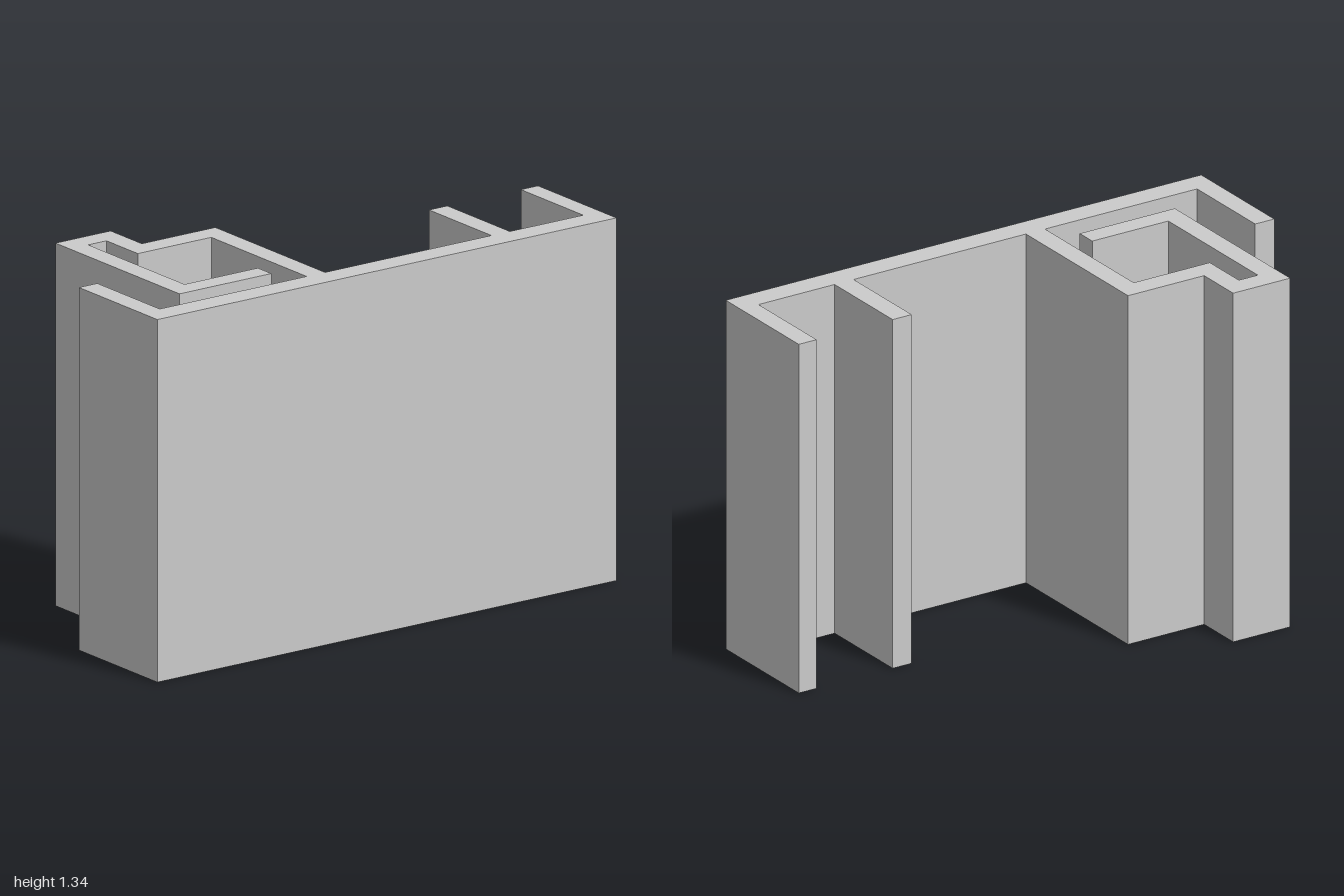
import * as THREE from 'three';

const HEIGHT = 1.335;

// Cross-section of the profile as [x, z] corners
const OUTLINE = [
  // back lip, main wall and front lip
  [0, -1], [0.465, -1], [0.465, 1], [0, 1], [0, 0.92], [0.37, 0.92],
  // inside of the hooked channel
  [0.37, 0.28], [-0.195, 0.28], [-0.195, 0.6], [-0.38, 0.6], [-0.38, 0.68], [0.19, 0.68],
  // free end of the hook
  [0.19, 0.36], [0.27, 0.36],
  // outside of the hooked channel
  [0.27, 0.76], [-0.465, 0.76], [-0.465, 0.52], [-0.28, 0.52], [-0.28, 0.2], [0.37, 0.2],
  // middle fin and inside of the back lip
  [0.37, -0.525], [0, -0.525], [0, -0.605], [0.37, -0.605], [0.37, -0.925], [0, -0.925],
];

export function createModel() {
  const group = new THREE.Group();
  group.name = 'extrudedProfile';

  // The shape lies in x / -z and is extruded upwards
  const shape = new THREE.Shape(OUTLINE.map(([x, z]) => new THREE.Vector2(x, -z)));
  const geometry = new THREE.ExtrudeGeometry(shape, { depth: HEIGHT, bevelEnabled: false });
  geometry.rotateX(-Math.PI / 2);

  const material = new THREE.MeshStandardMaterial({ color: 0xcccccc, flatShading: true });
  const profile = new THREE.Mesh(geometry, material);
  profile.name = 'frameProfile';
  group.add(profile);
  return group;
}
